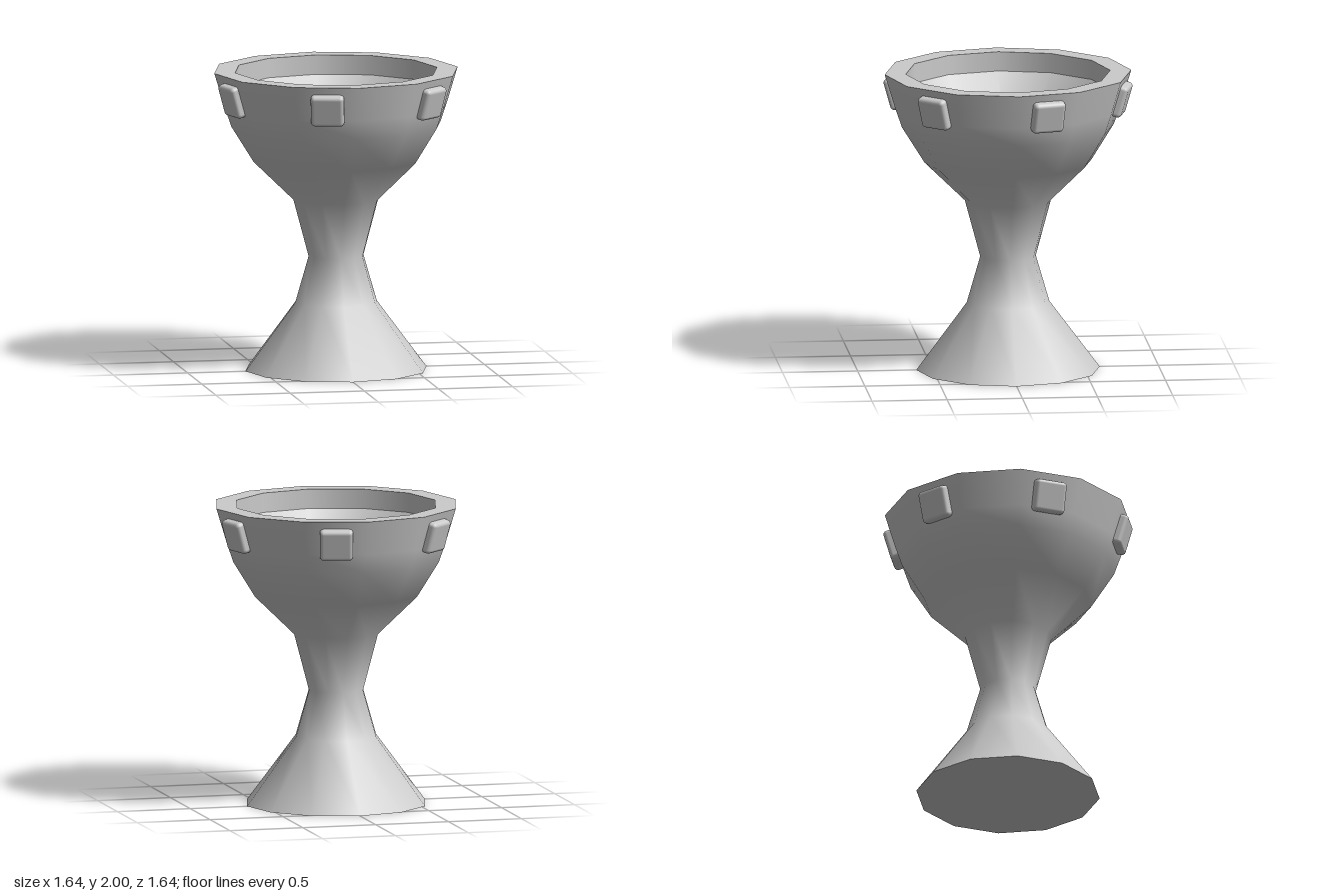
import * as THREE from 'three';
import { RoundedBoxGeometry } from 'three/addons/geometries/RoundedBoxGeometry.js';

const SIDES = 12;

export function createModel() {
  const group = new THREE.Group();
  group.name = 'goblet';
  const material = new THREE.MeshStandardMaterial({ color: 0xcccccc });

  const add = (name, geometry) => {
    const mesh = new THREE.Mesh(geometry, material);
    mesh.name = name;
    group.add(mesh);
    return mesh;
  };

  // One smooth band of the turned body; separate bands keep sharp edges between them
  const turned = (name, profile) =>
    add(name, new THREE.LatheGeometry(profile.map(([r, y]) => new THREE.Vector2(r, y)), SIDES));

  turned('base', [[0, 0], [0.61, 0]]);
  turned('outerBody', [
    [0.61, 0], [0.275, 0.45], [0.185, 0.76], [0.287, 1.14],
    [0.555, 1.4], [0.705, 1.64], [0.75, 1.77], [0.82, 2],
  ]);
  turned('rim', [[0.82, 2], [0.68, 2]]);
  turned('innerLip', [[0.68, 2], [0.68, 1.87]]);
  turned('innerBowl', [[0.68, 1.87], [0.09, 1.1]]);
  turned('bowlFloor', [[0.09, 1.1], [0, 1.1]]);

  // Six studs, one on every second facet, leaning with the bowl wall
  const studGeometry = new RoundedBoxGeometry(0.22, 0.215, 0.085, 2, 0.026);
  for (let i = 0; i < 6; i++) {
    const angle = Math.PI / 4 + (i * Math.PI) / 3;
    const stud = add('stud' + (i + 1), studGeometry);
    stud.position.set(0.757 * Math.sin(angle), 1.845, 0.757 * Math.cos(angle));
    stud.rotation.set(0.28, angle, 0, 'YXZ');
  }
  return group;
}
